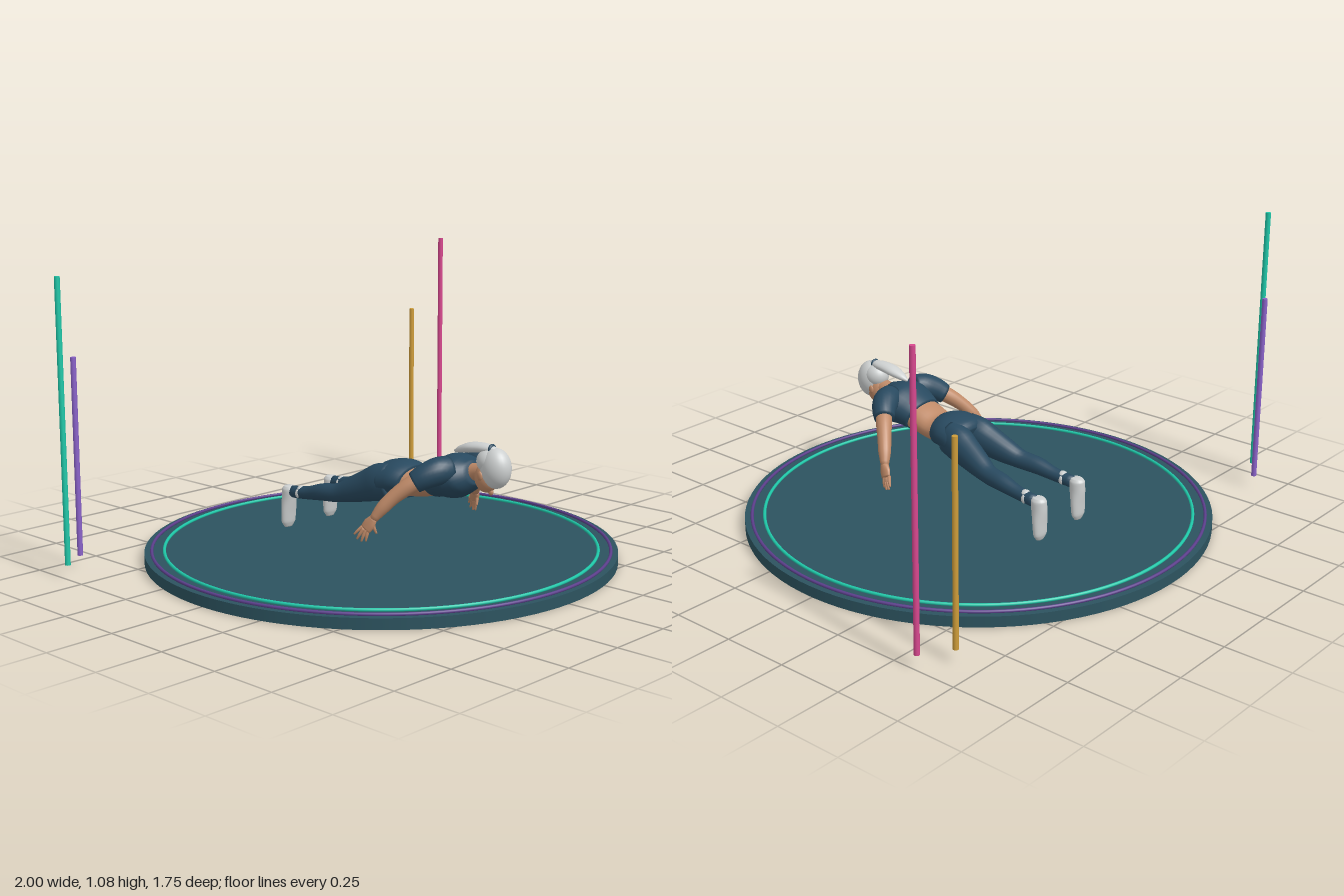
import * as THREE from 'three';

const flat = (name, color) => {
  const m = new THREE.MeshStandardMaterial({ color });
  m.name = name;
  return m;
};

// Smooth tube through elliptical sections [x, y, z, halfWidth, halfDepth]
function loft(sections, steps = 4, sides = 20) {
  const path = new THREE.CatmullRomCurve3(sections.map(s => new THREE.Vector3(s[0], s[1], s[2])));
  const radii = new THREE.CatmullRomCurve3(sections.map(s => new THREE.Vector3(s[3], s[4] ?? s[3], 0)));
  const rings = (sections.length - 1) * steps;
  const pos = [], index = [];
  for (let i = 0; i <= rings; i++) {
    const c = path.getPoint(i / rings), r = radii.getPoint(i / rings), t = path.getTangent(i / rings);
    const side = new THREE.Vector3(1, 0, 0).addScaledVector(t, -t.x).normalize();
    const up = new THREE.Vector3().crossVectors(t, side);
    for (let j = 0; j < sides; j++) {
      const a = (j / sides) * Math.PI * 2;
      const p = c.clone().addScaledVector(side, Math.cos(a) * r.x).addScaledVector(up, Math.sin(a) * r.y);
      pos.push(p.x, p.y, p.z);
    }
  }
  for (let i = 0; i < rings; i++) {
    for (let j = 0; j < sides; j++) {
      const k = (j + 1) % sides, a = i * sides, b = a + sides;
      index.push(a + j, a + k, b + j, a + k, b + k, b + j);
    }
  }
  // End caps
  const first = pos.length / 3, last = first + 1, end = rings * sides;
  pos.push(...sections[0].slice(0, 3), ...sections[sections.length - 1].slice(0, 3));
  for (let j = 0; j < sides; j++) {
    const k = (j + 1) % sides;
    index.push(first, k, j, last, end + j, end + k);
  }
  const g = new THREE.BufferGeometry();
  g.setAttribute('position', new THREE.Float32BufferAttribute(pos, 3));
  g.setIndex(index);
  g.computeVertexNormals();
  return g;
}

export function createModel() {
  const model = new THREE.Group();
  model.name = 'plankFigureOnStage';
  const slate = flat('slate', 0x2c535f), teal = flat('teal', 0x1fc8a9), purple = flat('purple', 0x8a62c9);
  const pink = flat('pink', 0xd8488f), gold = flat('gold', 0xcf9d3a), navy = flat('navy', 0x28495f);
  const skin = flat('skin', 0xbf8a68), white = flat('white', 0xcdd0d0), violet = flat('darkViolet', 0x5c3f8c);

  const add = (parent, name, geometry, material, p = [0, 0, 0]) => {
    const m = new THREE.Mesh(geometry, material);
    m.name = name;
    m.position.set(...p);
    parent.add(m);
    return m;
  };
  const blob = (parent, name, material, p, r) =>
    add(parent, name, new THREE.SphereGeometry(1, 28, 18), material, p).scale.set(...r);

  // Round platform with two glowing rings
  const stage = new THREE.Group();
  stage.name = 'stage';
  model.add(stage);
  add(stage, 'platform', new THREE.CylinderGeometry(0.875, 0.875, 0.04, 96), slate, [0, 0.02, 0]);
  const ring = (name, r, tube, mat) =>
    add(stage, name, new THREE.TorusGeometry(r, tube, 8, 128).rotateX(Math.PI / 2), mat, [0, 0.044, 0]);
  ring('innerRing', 0.802, 0.006, teal);
  ring('outerRing', 0.848, 0.006, violet);

  // Upright light poles behind the stage
  for (const [x, z, top, mat] of [
    [-0.99, -0.59, 1.075, teal], [-0.885, -0.66, 0.775, purple],
    [0.885, -0.66, 0.775, gold], [0.99, -0.59, 1.075, pink]]) {
    add(model, 'lightPole', new THREE.CylinderGeometry(0.01, 0.01, top - 0.05, 14), mat, [x, (top + 0.05) / 2, z]);
  }

  const figure = new THREE.Group();
  figure.name = 'figure';
  model.add(figure);

  // Torso: bare waist, cropped top and hips
  add(figure, 'waist', loft([
    [0, 0.308, 0.14, 0.086, 0.057], [0, 0.308, 0.2, 0.08, 0.05],
    [0, 0.326, 0.26, 0.081, 0.056], [0, 0.342, 0.32, 0.086, 0.06]], 5, 28), skin);
  add(figure, 'croppedTop', loft([
    [0, 0.332, 0.28, 0.088, 0.062], [0, 0.348, 0.32, 0.1, 0.07], [0, 0.363, 0.37, 0.115, 0.08],
    [0, 0.375, 0.415, 0.098, 0.066], [0, 0.387, 0.45, 0.042, 0.042]], 5, 28), navy);
  add(figure, 'hips', loft([
    [0, 0.306, 0.165, 0.089, 0.06], [0, 0.313, 0.12, 0.106, 0.068], [0, 0.303, 0.07, 0.11, 0.07],
    [0, 0.292, 0.045, 0.07, 0.05]], 5, 28), navy);

  // Head, hair and ponytail
  add(figure, 'neck', loft([[0, 0.378, 0.42, 0.037], [0, 0.39, 0.46, 0.031], [0, 0.395, 0.51, 0.034]]), skin);
  blob(figure, 'face', skin, [0, 0.379, 0.506], [0.042, 0.055, 0.045]);
  blob(figure, 'nose', skin, [0, 0.328, 0.525], [0.008, 0.012, 0.01]);
  blob(figure, 'hair', white, [0, 0.416, 0.546], [0.05, 0.072, 0.059]);
  blob(figure, 'hairBack', white, [0, 0.437, 0.52], [0.046, 0.046, 0.05]);
  add(figure, 'hairTie', new THREE.TorusGeometry(0.014, 0.006, 8, 20), navy, [0, 0.48, 0.528]);
  add(figure, 'ponytail', loft([
    [0, 0.478, 0.545, 0.012], [0, 0.481, 0.5, 0.026, 0.017], [0, 0.475, 0.44, 0.03, 0.019],
    [0, 0.46, 0.385, 0.018, 0.013], [0, 0.45, 0.358, 0.004, 0.004]]), white);

  // Mirrored limbs
  for (const s of [1, -1]) {
    const limb = (name, sections, mat, sides = 20) =>
      add(figure, name, loft(sections.map(([x, ...r]) => [x * s, ...r]), 4, sides), mat);

    blob(figure, 'ear', skin, [0.043 * s, 0.39, 0.51], [0.006, 0.016, 0.011]);

    // Arm
    limb('sleeve', [
      [0.06, 0.4, 0.385, 0.045], [0.105, 0.395, 0.37, 0.05], [0.145, 0.378, 0.345, 0.045],
      [0.17, 0.357, 0.32, 0.038]], navy);
    limb('arm', [
      [0.15, 0.372, 0.34, 0.032], [0.188, 0.343, 0.305, 0.03], [0.222, 0.308, 0.272, 0.026],
      [0.25, 0.27, 0.245, 0.024], [0.275, 0.228, 0.222, 0.015]], skin);
    limb('palm', [
      [0.274, 0.232, 0.224, 0.014, 0.015], [0.284, 0.21, 0.211, 0.012, 0.024],
      [0.292, 0.192, 0.201, 0.009, 0.022]], skin, 14);
    const fingers = [
      [0.29, 0.2, 0.186, 0.31, 0.17, 0.163], [0.293, 0.193, 0.194, 0.306, 0.154, 0.173],
      [0.291, 0.19, 0.203, 0.302, 0.147, 0.19], [0.288, 0.192, 0.212, 0.296, 0.15, 0.206],
      [0.28, 0.215, 0.225, 0.271, 0.178, 0.234]];
    for (const [x, y, z, tx, ty, tz] of fingers) {
      limb('finger', [
        [x, y, z, 0.0065], [(x + tx) / 2 + 0.002, (y + ty) / 2, (z + tz) / 2, 0.006], [tx, ty, tz, 0.0035]], skin, 8);
    }

    // Leg
    limb('trouserLeg', [
      [0.052, 0.304, 0.1, 0.05, 0.066], [0.057, 0.294, 0.05, 0.055, 0.07], [0.066, 0.276, 0, 0.05, 0.061],
      [0.08, 0.25, -0.07, 0.043, 0.048], [0.093, 0.23, -0.13, 0.034, 0.036], [0.102, 0.222, -0.2, 0.032, 0.033],
      [0.107, 0.206, -0.28, 0.024, 0.025], [0.111, 0.198, -0.36, 0.022, 0.023]], navy);

    // Pale ankle trim on the upper side of the leg
    blob(figure, 'ankleTrim', white, [0.109 * s, 0.211, -0.313], [0.019, 0.018, 0.021]);
    for (const side of [-1, 1]) {
      blob(figure, 'ankleTrimSide', white, [(0.109 + side * 0.016) * s, 0.2, -0.318], [0.009, 0.017, 0.011]);
    }

    // Shoe balanced on its toe
    limb('shoe', [
      [0.112, 0.219, -0.376, 0.018, 0.022], [0.112, 0.205, -0.376, 0.027, 0.031], [0.112, 0.17, -0.379, 0.028, 0.029],
      [0.112, 0.12, -0.382, 0.033, 0.022], [0.112, 0.08, -0.384, 0.032, 0.018],
      [0.112, 0.058, -0.384, 0.018, 0.009]], white);
  }
  return model;
}
